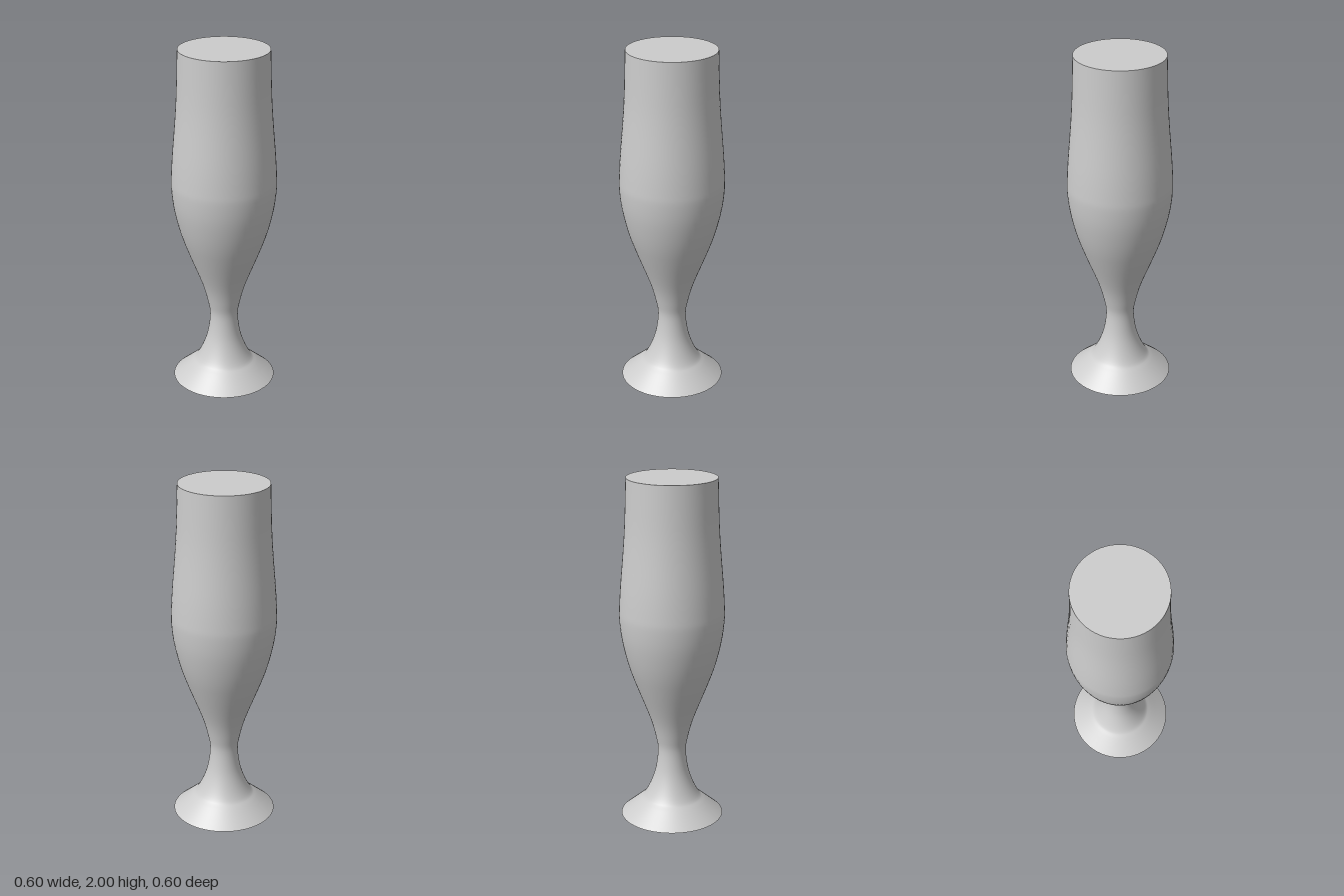
import * as THREE from 'three';

const SIDES = 64;

export function createModel() {
  const group = new THREE.Group();
  const grey = new THREE.MeshStandardMaterial({ color: 0xcccccc });
  grey.name = 'light grey';

  const add = (name, geometry) => {
    const mesh = new THREE.Mesh(geometry, grey);
    mesh.name = name;
    group.add(mesh);
    return mesh;
  };

  // Glass outline, radius and height, from foot to rim
  const outline = new THREE.SplineCurve([
    [0.298, 0], [0.2, 0.083], [0.16, 0.12], [0.12, 0.2], [0.093, 0.29],
    [0.081, 0.4], [0.093, 0.48], [0.126, 0.6], [0.2, 0.79], [0.24, 0.9],
    [0.268, 1.0], [0.288, 1.1], [0.298, 1.2], [0.297, 1.27], [0.289, 1.4],
    [0.272, 1.6], [0.262, 1.76], [0.254, 2],
  ].map(([r, y]) => new THREE.Vector2(r, y)));
  add('glassBody', new THREE.LatheGeometry(outline.getPoints(68), SIDES));

  // Flat closing discs
  const disc = (name, radius, y, tilt) => {
    const mesh = add(name, new THREE.CircleGeometry(radius, SIDES));
    mesh.rotation.x = tilt;
    mesh.position.y = y;
  };
  disc('topSurface', 0.254, 2, -Math.PI / 2);
  disc('footUnderside', 0.298, 0, Math.PI / 2);

  return group;
}
